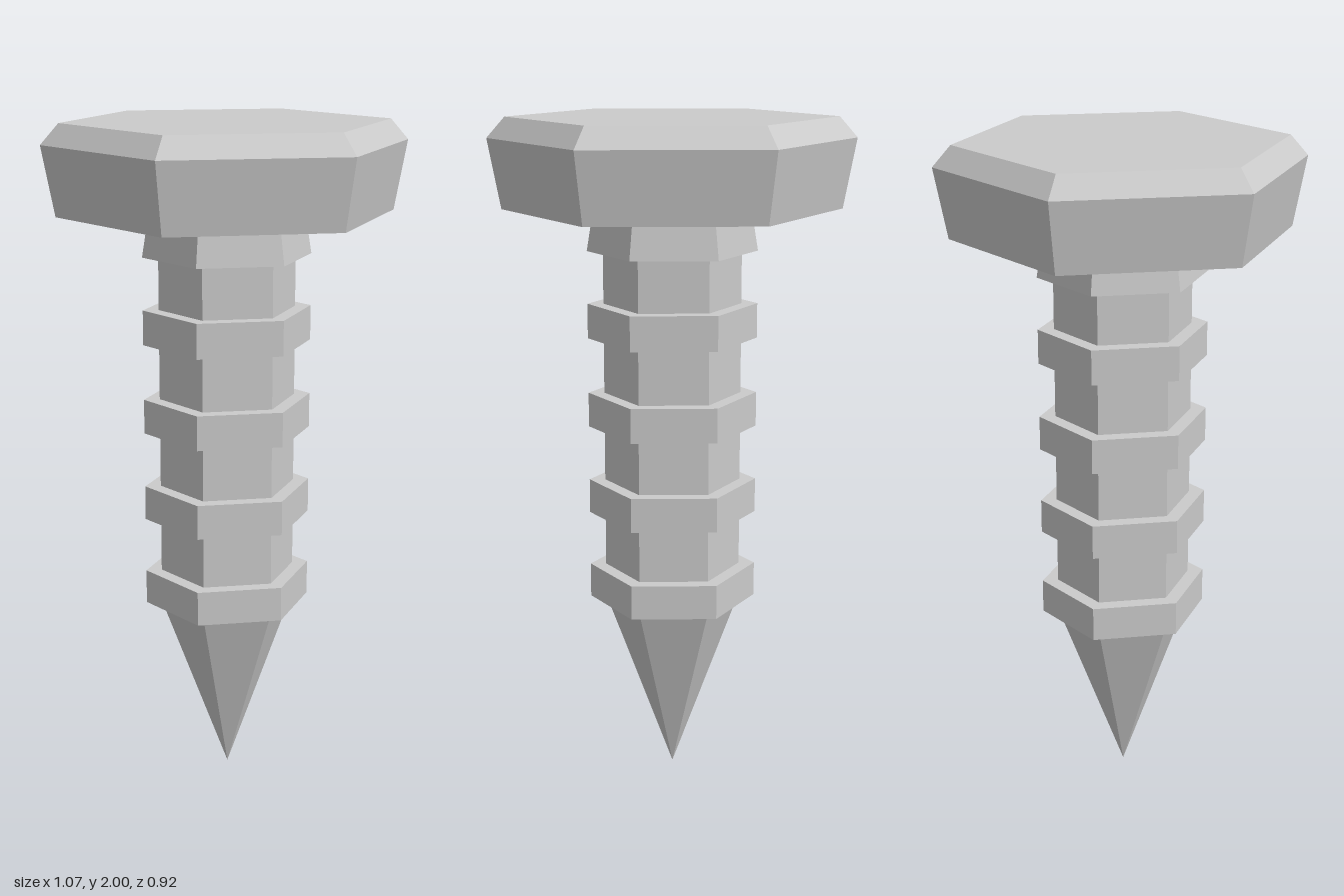
import * as THREE from 'three';

const material = new THREE.MeshStandardMaterial({ color: 0xcccccc, flatShading: true });

// Six-sided solid from [radius, height] pairs, bottom to top, with corners on the x axis
function hexPart(name, profile) {
  const points = profile.map(([r, y]) => new THREE.Vector2(r, y));
  const mesh = new THREE.Mesh(new THREE.LatheGeometry(points, 6, Math.PI / 2), material);
  mesh.name = name;
  return mesh;
}

export function createModel() {
  const group = new THREE.Group();
  group.name = 'bolt';

  const shaftR = 0.203, threadR = 0.25, collarR = 0.23;
  const tipTop = 0.553, collarBottom = 1.615, headBottom = 1.737;

  // Pointed tip
  group.add(hexPart('tip', [[0, 0], [shaftR, tipTop]]));

  // Shaft stepping out into evenly spaced thread rings
  const shaft = [[shaftR, tipTop]];
  for (let i = 0; i < 4; i++) {
    const y = tipTop + i * 0.268;
    shaft.push([shaftR, y], [threadR, y], [threadR, y + 0.103], [shaftR, y + 0.103]);
  }
  shaft.push([shaftR, collarBottom]);
  group.add(hexPart('threadedShaft', shaft.slice(1)));

  // Collar narrowing up towards the head
  group.add(hexPart('collar', [
    [shaftR, collarBottom], [threadR, collarBottom], [collarR, headBottom],
  ]));

  // Flared head with a chamfered top
  group.add(hexPart('head', [
    [collarR, headBottom], [0.495, headBottom], [0.533, 1.94], [0.48, 2], [0, 2],
  ]));

  return group;
}
